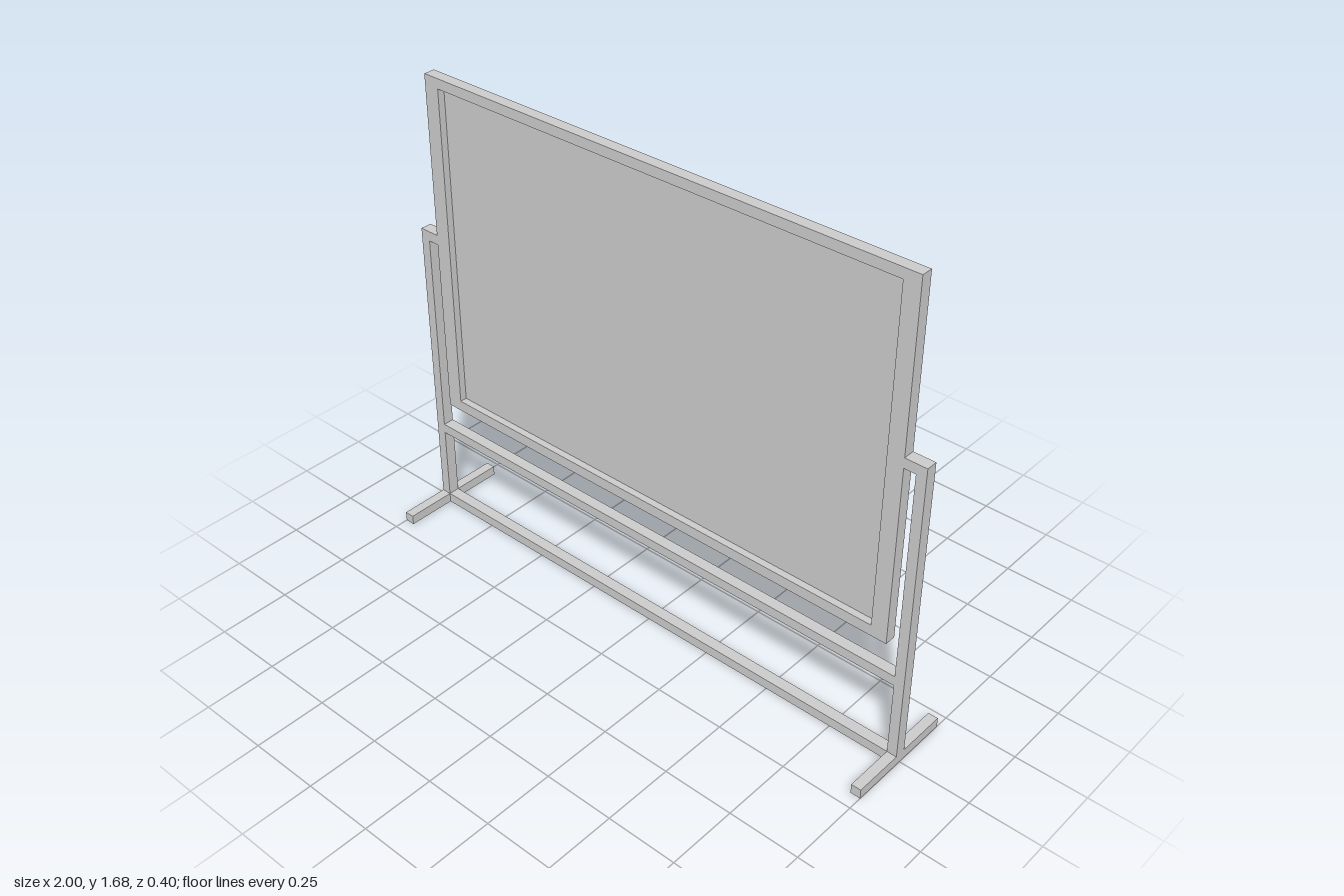
import * as THREE from 'three';

const material = new THREE.MeshStandardMaterial({ color: 0xcccccc, flatShading: true });

export function createModel() {
  const model = new THREE.Group();
  model.name = 'boardOnStand';

  // box given by its extents on each axis
  const bar = (name, [x0, x1], [y0, y1], [z0, z1]) => {
    const mesh = new THREE.Mesh(new THREE.BoxGeometry(x1 - x0, y1 - y0, z1 - z0), material);
    mesh.position.set((x0 + x1) / 2, (y0 + y1) / 2, (z0 + z1) / 2);
    mesh.name = name;
    model.add(mesh);
  };

  const T = 0.035;            // tube thickness
  const inner = 1 - T;        // inner face of the posts
  const depth = [-0.02, 0.02];

  // posts, feet and the short arms that carry the board
  for (const [side, s] of [['left', 1], ['right', -1]]) {
    const span = (a, b) => (s > 0 ? [a, b] : [-b, -a]);
    bar(side + 'Post', span(inner, 1), [0, 1.11], depth);
    bar(side + 'FrontFoot', span(inner, 1), [0, T], [0.02, 0.2]);
    bar(side + 'BackFoot', span(inner, 1), [0, T], [-0.2, -0.02]);
    bar(side + 'Arm', span(0.925, inner), [1.11 - T, 1.11], depth);
  }

  // cross bars
  bar('bottomBar', [-inner, inner], [0, T], depth);
  bar('middleBar', [-inner, inner], [0.305, 0.34], depth);

  // board: raised frame around a recessed panel, flat at the back
  const X = 0.925, Y0 = 0.443, Y1 = 1.677;
  const panelFront = -0.005;
  const rect = (path, x, y0, y1) =>
    path.moveTo(-x, y0).lineTo(x, y0).lineTo(x, y1).lineTo(-x, y1).closePath();
  const outline = new THREE.Shape();
  rect(outline, X, Y0, Y1);
  const opening = new THREE.Path();
  rect(opening, 0.868, 0.482, 1.642);
  outline.holes.push(opening);
  const frame = new THREE.Mesh(
    new THREE.ExtrudeGeometry(outline, { depth: 0.02 - panelFront, bevelEnabled: false }), material);
  frame.position.z = panelFront;
  frame.name = 'boardFrame';
  model.add(frame);
  bar('boardPanel', [-X, X], [Y0, Y1], [-0.02, panelFront]);

  return model;
}
